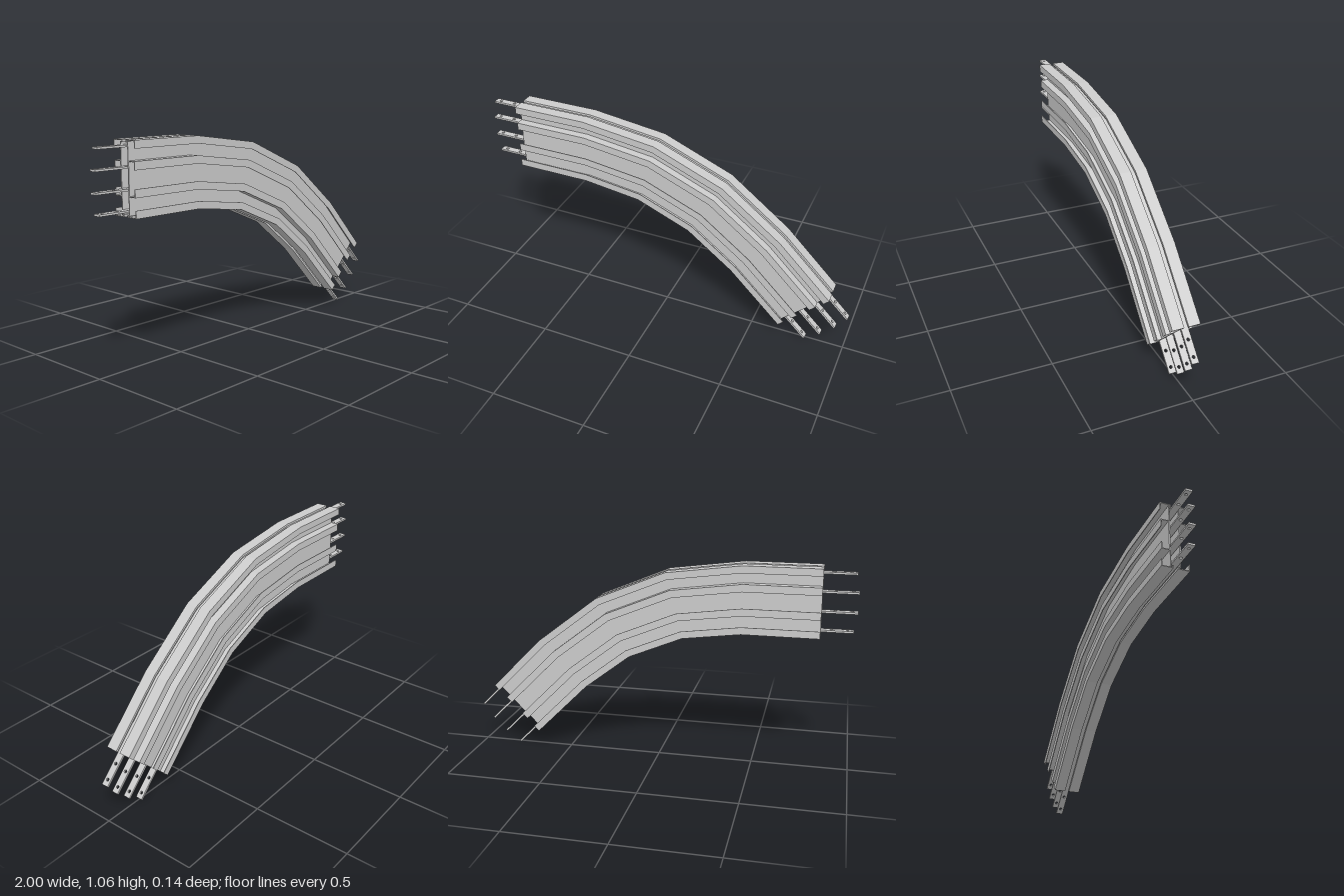
import * as THREE from 'three';

const material = new THREE.MeshStandardMaterial({ color: 0xcccccc, flatShading: true });

// Bend: straight run, 45 degree arc in three facets, straight run
const CENTER = { x: -0.433, y: -0.447 };
const MID_R = 1.332, STRAIGHT = 0.39, BEND = Math.PI / 4;
const STATIONS = [
  [0, -STRAIGHT], [0, 0], [BEND / 3, 0], [2 * BEND / 3, 0], [BEND, 0], [BEND, STRAIGHT],
];

// Point at an arc angle, shifted by `run` along the tangent; s is the offset from the mid radius
function place([angle, run], s, z) {
  const r = MID_R + s, c = Math.cos(angle), n = Math.sin(angle);
  return [CENTER.x + r * n + run * c, CENTER.y + r * c - run * n, z];
}

// Sweep a closed section of (z, s) points through all stations and cap both ends
function sweep(name, section) {
  const pts = THREE.ShapeUtils.area(section) < 0 ? section.slice().reverse() : section;
  const pos = [];
  const add = (station, i) => pos.push(...place(station, pts[i].y, pts[i].x));
  for (let k = 0; k < STATIONS.length - 1; k++) {
    const A = STATIONS[k], B = STATIONS[k + 1];
    for (let i = 0; i < pts.length; i++) {
      const j = (i + 1) % pts.length;
      add(A, i); add(B, j); add(A, j);
      add(A, i); add(B, i); add(B, j);
    }
  }
  const first = STATIONS[0], last = STATIONS[STATIONS.length - 1];
  for (const [a, b, c] of THREE.ShapeUtils.triangulateShape(pts, [])) {
    add(first, a); add(first, b); add(first, c);
    add(last, a); add(last, c); add(last, b);
  }
  const geometry = new THREE.BufferGeometry();
  geometry.setAttribute('position', new THREE.Float32BufferAttribute(pos, 3));
  geometry.computeVertexNormals();
  const mesh = new THREE.Mesh(geometry, material);
  mesh.name = name;
  return mesh;
}

// Thicken a right-angled (s, z) line into a closed sheet section; side mirrors it in z
function sheetSection(half, thickness, side) {
  const line = [...half, ...half.slice().reverse().map(([s, z]) => [-s, z])]
    .map(([s, z]) => new THREE.Vector2(z, s));
  const normals = line.slice(1).map((p, i) => {
    const d = p.clone().sub(line[i]).normalize();
    return new THREE.Vector2(-d.y, d.x);
  });
  const inner = line.map((p, i) => {
    const a = normals[Math.max(i - 1, 0)], b = normals[Math.min(i, normals.length - 1)];
    const shift = a.clone();
    if (Math.abs(a.dot(b)) < 0.5) shift.add(b);
    return p.clone().addScaledVector(shift, thickness);
  });
  return [...line, ...inner.reverse()].map(p => new THREE.Vector2(p.x * side, p.y));
}

// Drilled connection tab, lying flat with its length along +x
function tabGeometry(length, width, thickness) {
  const w = width / 2;
  const shape = new THREE.Shape();
  shape.moveTo(0, -w).lineTo(length, -w).lineTo(length, w).lineTo(0, w).closePath();
  for (const inset of [0.03, 0.11]) {
    shape.holes.push(new THREE.Path().absarc(length - inset, 0, 0.0075, 0, Math.PI * 2, true));
  }
  return new THREE.ExtrudeGeometry(shape, { depth: thickness, bevelEnabled: false, curveSegments: 6 })
    .translate(0, 0, -thickness / 2)
    .rotateX(-Math.PI / 2);
}

export function createModel() {
  const model = new THREE.Group();
  model.name = 'busbarBend';

  // Folded sheet housing: outer shell and central lipped channel on each face
  const shell = [[0.137, 0.071], [0.174, 0.071], [0.174, 0.0115], [0.162, 0.0115], [0.162, 0.022]];
  const channel = [[0.042, 0.068], [0.081, 0.068], [0.081, 0.025]];
  for (const [label, side] of [['front', 1], ['back', -1]]) {
    model.add(sweep(label + 'Shell', sheetSection(shell, 0.004, side)));
    model.add(sweep(label + 'Channel', sheetSection(channel, 0.004, side)));
  }

  // Four flat conductors with drilled tabs at both ends
  const width = 0.036, thick = 0.01;
  [[0.146, 0.161], [0.051, 0.176], [-0.049, 0.176], [-0.145, 0.161]].forEach(([s, length], i) => {
    const conductor = new THREE.Group();
    conductor.name = 'conductor' + (i + 1);
    const w = width / 2, t = thick / 2;
    conductor.add(sweep('conductorBar', [[-w, s - t], [w, s - t], [w, s + t], [-w, s + t]]
      .map(p => new THREE.Vector2(...p))));
    const geometry = tabGeometry(length, width, thick);
    for (const [name, station, turn] of [
      ['leftEndTab', STATIONS[0], Math.PI],
      ['rightEndTab', STATIONS[STATIONS.length - 1], -BEND],
    ]) {
      const tab = new THREE.Mesh(geometry, material);
      tab.name = name === 'leftEndTab' ? 'upperEndTab' : 'lowerEndTab';
      tab.position.set(...place(station, s, 0));
      tab.rotation.z = turn;
      conductor.add(tab);
    }
    model.add(conductor);
  });

  return model;
}
